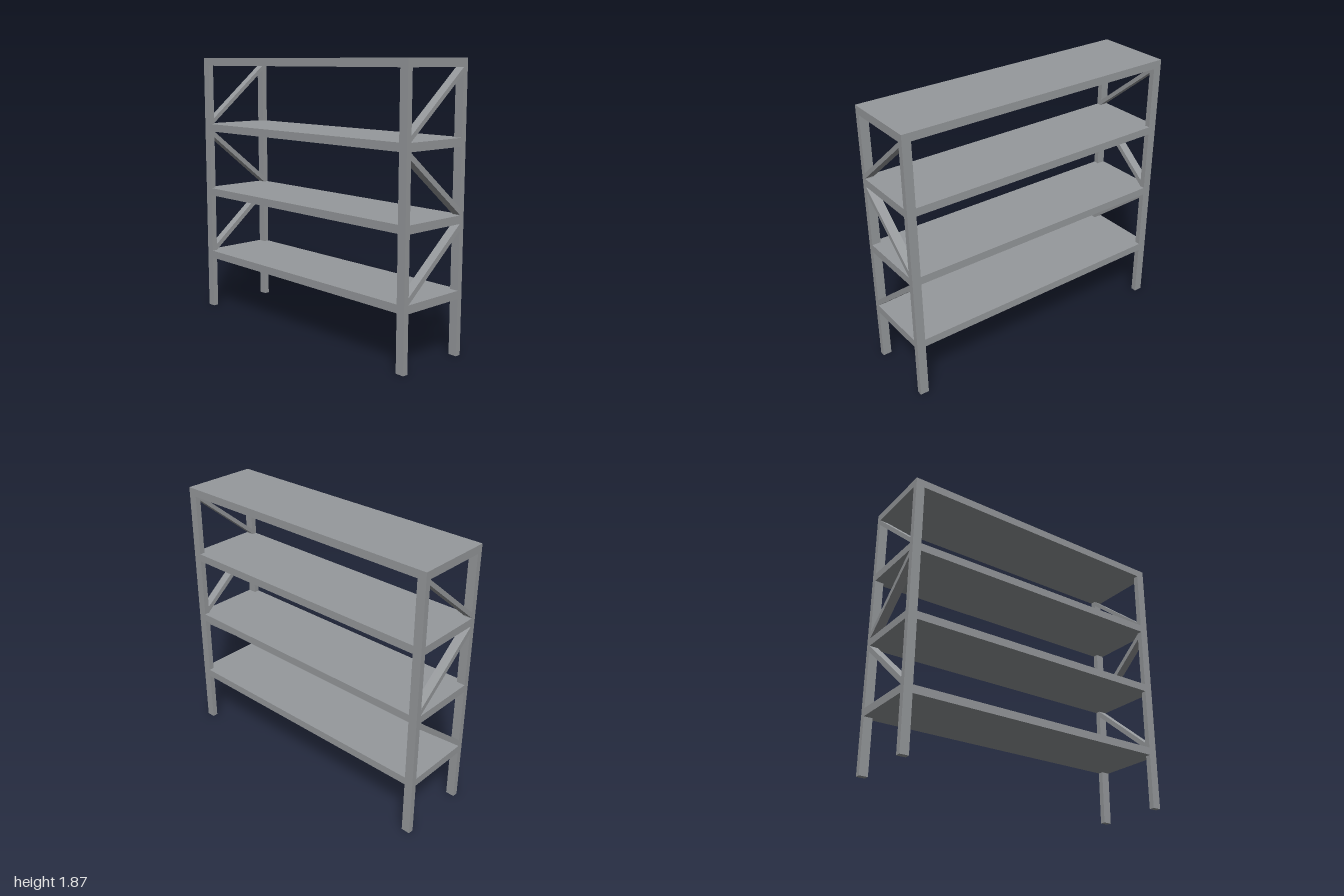
import * as THREE from 'three';

export function createModel() {
  const rack = new THREE.Group();
  rack.name = 'shelvingRack';

  const steel = new THREE.MeshStandardMaterial({ color: 0x96999c });
  steel.name = 'grey steel';

  const W = 0.268, D = 1;          // half width (x) and half length (z)
  const PX = 0.038, PZ = 0.06;     // post section
  const H = 1.867, T = 0.054;      // height and board thickness
  const ix = W - PX, iz = D - PZ;  // inner faces of the posts

  const add = (name, geometry, x, y, z) => {
    const mesh = new THREE.Mesh(geometry, steel);
    mesh.name = name;
    mesh.position.set(x, y, z);
    rack.add(mesh);
    return mesh;
  };
  const extrude = (points, depth) => new THREE.ExtrudeGeometry(
    new THREE.Shape(points.map(([x, y]) => new THREE.Vector2(x, y))),
    { depth, bevelEnabled: false });

  // Top board rests on the four corner posts
  add('topShelf', new THREE.BoxGeometry(2 * W, T, 2 * D), 0, H - T / 2, 0);
  for (const sx of [-1, 1]) for (const sz of [-1, 1]) {
    add((sz > 0 ? 'front' : 'back') + (sx > 0 ? 'Left' : 'Right') + 'Post',
      new THREE.BoxGeometry(PX, H - T, PZ),
      sx * (W - PX / 2), (H - T) / 2, sz * (D - PZ / 2));
  }

  // Lower boards are notched around the posts
  const plan = [
    [-ix, -D], [ix, -D], [ix, -iz], [W, -iz], [W, iz], [ix, iz],
    [ix, D], [-ix, D], [-ix, iz], [-W, iz], [-W, -iz], [-ix, -iz],
  ];
  const board = extrude(plan, T).rotateX(Math.PI / 2);
  [0.429, 0.909, 1.388].forEach((y, i) => add('shelf' + (i + 1), board, 0, y, 0));

  // Diagonal braces at both ends: lower edge at -x, lower edge at +x, vertical thickness
  const braces = [
    [0.43, 0.81, 0.044],
    [1.286, 0.912, 0.044],
    [1.393, 1.776, 0.036],
  ];
  braces.forEach(([a, b, t], i) => {
    const bar = extrude([[-ix, a], [ix, b], [ix, b + t], [-ix, a + t]], PZ);
    add('frontBrace' + (i + 1), bar, 0, 0, iz);
    add('backBrace' + (i + 1), bar, 0, 0, -D);
  });

  return rack;
}
